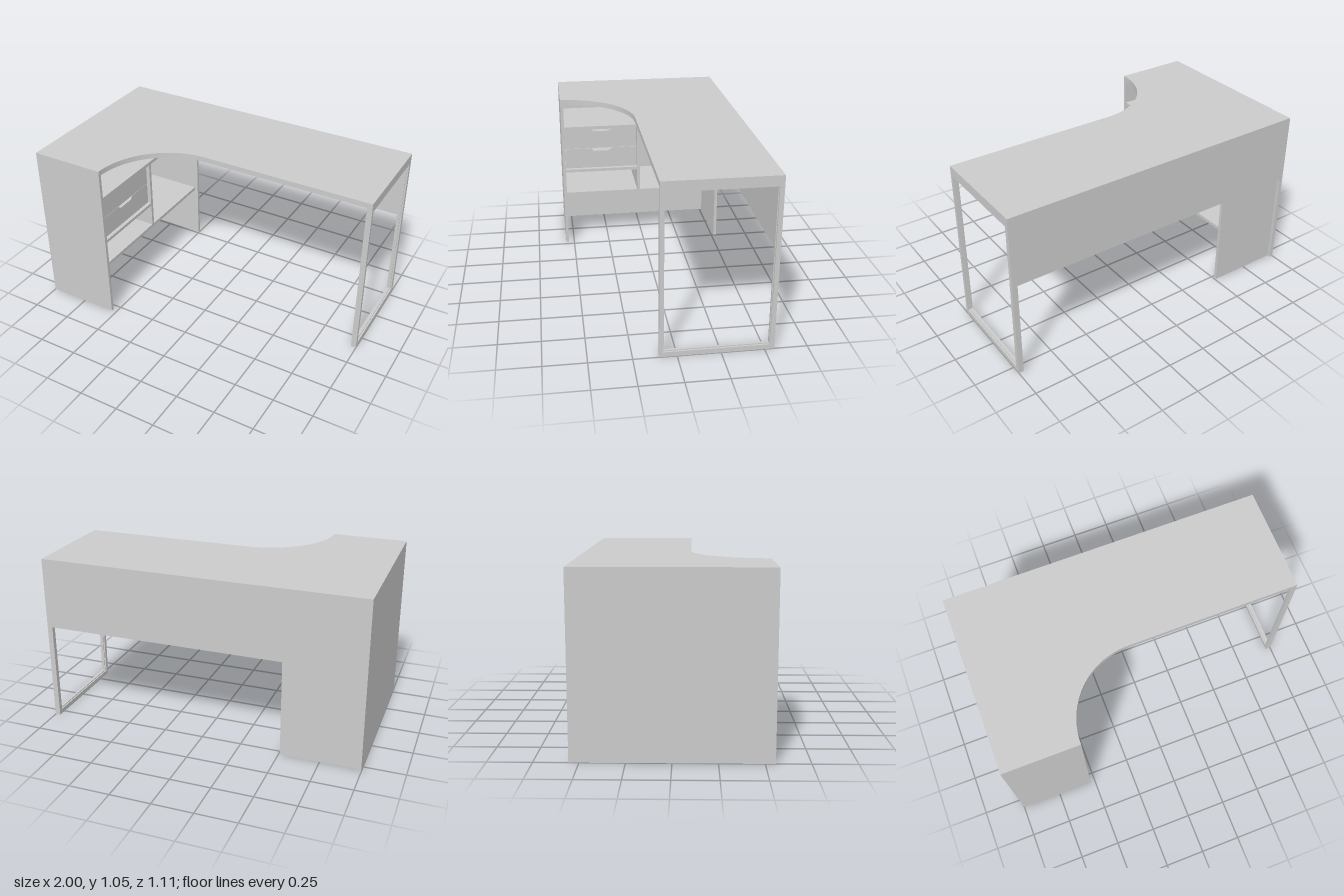
import * as THREE from 'three';

const material = new THREE.MeshStandardMaterial({ color: 0xcccccc, flatShading: true });

// Box given by its minimum and maximum along each axis
function board(parent, name, [x0, x1], [y0, y1], [z0, z1]) {
  const mesh = new THREE.Mesh(new THREE.BoxGeometry(x1 - x0, y1 - y0, z1 - z0), material);
  mesh.position.set((x0 + x1) / 2, (y0 + y1) / 2, (z0 + z1) / 2);
  mesh.name = name;
  parent.add(mesh);
  return mesh;
}

// Outline drawn in (-z, y) and extruded along x from x0 to x1
function sidePlate(parent, name, shape, x0, x1) {
  const geometry = new THREE.ExtrudeGeometry(shape, { depth: x1 - x0, bevelEnabled: false });
  geometry.rotateY(Math.PI / 2);
  geometry.translate(x0, 0, 0);
  const mesh = new THREE.Mesh(geometry, material);
  mesh.name = name;
  parent.add(mesh);
}

function polygon(points, Type = THREE.Shape) {
  return new Type(points.map(([x, y]) => new THREE.Vector2(x, y)));
}

const rect = (z0, z1, y0, y1) => [[-z1, y0], [-z0, y0], [-z0, y1], [-z1, y1]];

export function createModel() {
  const desk = new THREE.Group();
  desk.name = 'cornerDesk';
  const under = 1.022, height = 1.055, front = 0.557, back = -0.557;

  // Worktop with a concave quarter-circle inner corner
  const outline = new THREE.Shape();
  const radius = 0.455;
  outline.moveTo(-1, -front);
  outline.lineTo(-0.53, -front);
  outline.absarc(-0.53 + radius, -front, radius, Math.PI, Math.PI / 2, true);
  outline.lineTo(1, radius - front);
  outline.lineTo(1, -back);
  outline.lineTo(-1, -back);
  const topGeometry = new THREE.ExtrudeGeometry(outline, {
    depth: height - under, bevelEnabled: false, curveSegments: 32,
  });
  topGeometry.rotateX(-Math.PI / 2);
  topGeometry.translate(0, under, 0);
  const top = new THREE.Mesh(topGeometry, material);
  top.name = 'worktop';
  desk.add(top);

  // Cabinet carcass
  const cabinet = new THREE.Group();
  cabinet.name = 'cabinet';
  desk.add(cabinet);
  const inner = [-0.978, -0.532];
  board(cabinet, 'outerSidePanel', [-1, -0.978], [0, under], [back, front]);
  board(cabinet, 'frontPanel', [-0.978, -0.53], [0, under], [0.537, front]);
  board(cabinet, 'cabinetBackPanel', [-0.978, -0.508], [0, under], [-0.535, -0.515]);

  // Shelves and upright
  board(cabinet, 'lowerShelf', inner, [0.36, 0.382], [-0.515, 0.537]);
  board(cabinet, 'upperShelf', inner, [0.84, 0.862], [-0.515, 0.537]);
  board(cabinet, 'drawerShelf', inner, [0.533, 0.553], [0.04, 0.537]);
  board(cabinet, 'divider', inner, [0.382, 0.84], [0.02, 0.04]);

  // Two drawers with finger notches
  [0.555, 0.698].forEach((y, i) => {
    const drawer = new THREE.Group();
    drawer.name = i ? 'upperDrawer' : 'lowerDrawer';
    cabinet.add(drawer);
    const t = y + 0.141;
    const face = polygon([
      [-0.535, y], [-0.042, y], [-0.042, t], [-0.212, t],
      [-0.235, t - 0.02], [-0.34, t - 0.02], [-0.365, t], [-0.535, t],
    ]);
    sidePlate(drawer, 'drawerFront', face, -0.575, -0.555);
    board(drawer, 'drawerBottom', [-0.96, -0.575], [y + 0.01, y + 0.02], [0.055, 0.522]);
    board(drawer, 'drawerBack', [-0.97, -0.96], [y + 0.01, t - 0.03], [0.055, 0.522]);
    for (const z of [0.055, 0.512]) {
      board(drawer, 'drawerSide', [-0.96, -0.575], [y + 0.02, t - 0.03], [z, z + 0.01]);
    }
  });

  // Modesty panel along the back
  board(desk, 'modestyPanel', [-1, 0.967], [0.615, under], [back, -0.535]);

  // Open rectangular leg: a main ring and a thin inner lip
  const leg = new THREE.Group();
  leg.name = 'legFrame';
  desk.add(leg);
  const ring = polygon(rect(back, 0.102, 0, under));
  ring.holes.push(polygon(rect(-0.53, 0.08, 0.03, 0.995), THREE.Path));
  sidePlate(leg, 'legRing', ring, 0.967, 1);
  const lip = polygon(rect(-0.53, 0.08, 0.03, 0.995));
  lip.holes.push(polygon(rect(-0.525, 0.075, 0.036, 0.989), THREE.Path));
  sidePlate(leg, 'legLip', lip, 0.976, 0.99);

  return desk;
}
